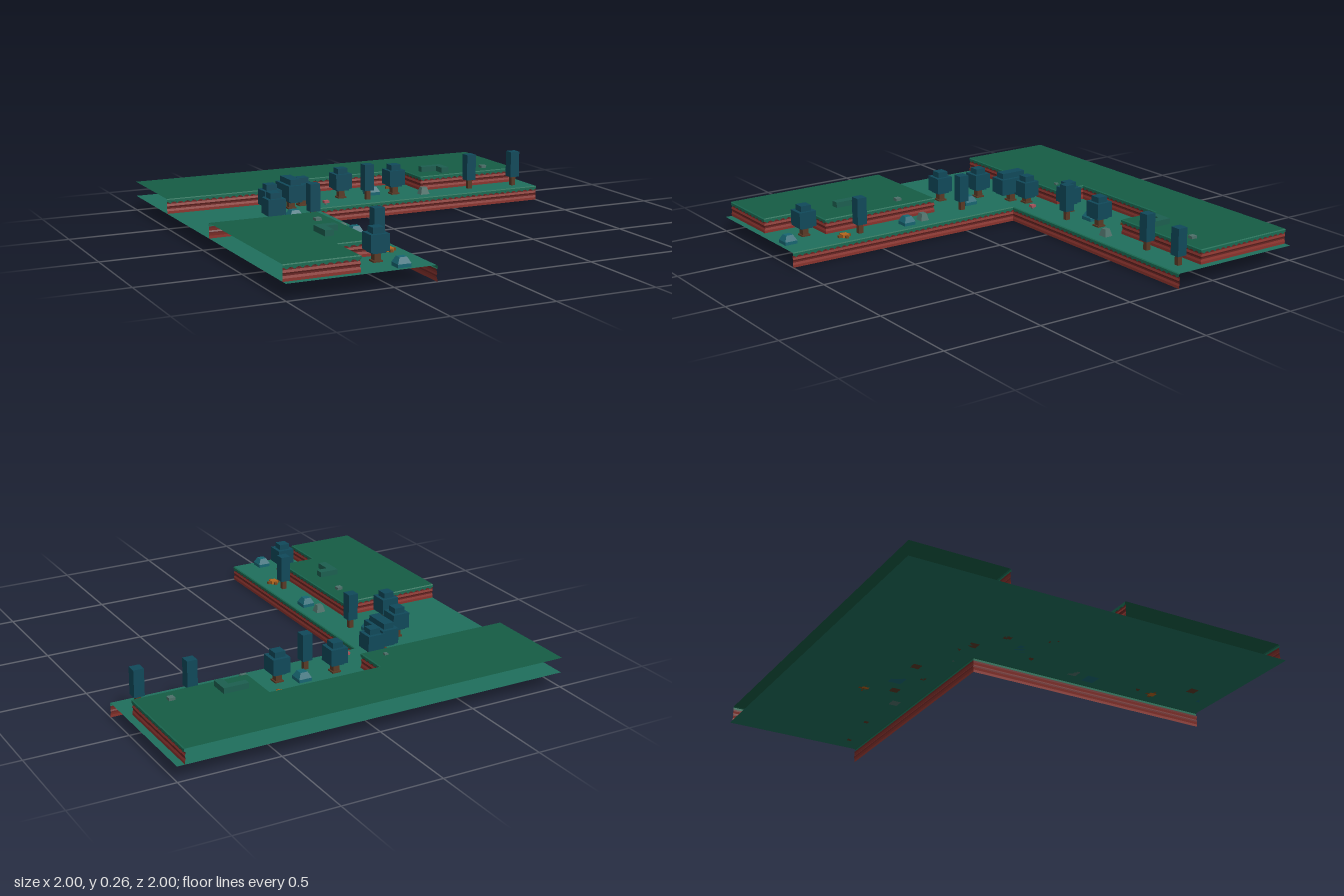
import * as THREE from 'three';

const mat = (color) => new THREE.MeshStandardMaterial({ color, flatShading: true, side: THREE.DoubleSide });
const M = {
  ground: mat(0x1f6f5c), plateau: mat(0x155c45), lip: mat(0x1a6a52),
  red: mat(0x8a332d), dark: mat(0x6a2624), leaf: mat(0x10495a), bush: mat(0x176672),
  trunk: mat(0x5a3a26), rock: mat(0x4d7069), slab: mat(0x1c5f50),
  wood: mat(0x7a4a20), flame: mat(0xb5651d), pink: mat(0xa8545c),
};
const LOW = 0.075, HIGH = 0.15;

function add(parent, name, geometry, material, x = 0, y = 0, z = 0) {
  const mesh = new THREE.Mesh(geometry, material);
  mesh.name = name;
  mesh.position.set(x, y, z);
  parent.add(mesh);
  return mesh;
}

// box standing on y
const block = (parent, name, material, w, h, d, x, y, z) =>
  add(parent, name, new THREE.BoxGeometry(w, h, d), material, x, y + h / 2, z);

// square frustum standing on y
function frustum(parent, name, material, w, top, h, d, x, y, z) {
  const g = new THREE.CylinderGeometry(top / w * Math.SQRT1_2, Math.SQRT1_2, h, 4).rotateY(Math.PI / 4);
  return add(parent, name, g.scale(w, 1, d), material, x, y + h / 2, z);
}

function fromTriangles(positions) {
  const g = new THREE.BufferGeometry();
  g.setAttribute('position', new THREE.Float32BufferAttribute(positions, 3));
  g.computeVertexNormals();
  return g;
}

// flat sheet with corners given as [x, z]
function sheet(parent, name, corners, y, material) {
  const shape = new THREE.Shape(corners.map(([x, z]) => new THREE.Vector2(x, -z)));
  add(parent, name, new THREE.ShapeGeometry(shape).rotateX(-Math.PI / 2), material, 0, y);
}

// outward normal of path segment i
function normalOf(path, i) {
  const [a, b] = [path[i], path[i + 1]];
  const l = Math.hypot(b[0] - a[0], b[1] - a[1]);
  return [-(b[1] - a[1]) / l, (b[0] - a[0]) / l];
}

// right-angled path pushed outward, mitred at its corners
function offsetPath(path, o) {
  return path.map(([x, z], i) => {
    const n = [];
    if (i > 0) n.push(normalOf(path, i - 1));
    if (i < path.length - 1) n.push(normalOf(path, i));
    const sum = n.reduce((s, v) => [s[0] + v[0], s[1] + v[1]], [0, 0]);
    return [x + sum[0] * o, z + sum[1] * o];
  });
}

// cliff bands: outward offset and height above the foot, top to bottom
const PROFILE = [[0, 0.075], [0.005, 0.071], [0.005, 0.06], [0, 0.058], [0, 0.049],
  [0.003, 0.038], [0, 0.031], [0, 0.024], [0.003, 0.013], [0.003, 0]];
const BANDS = ['lip', 'lip', 'lip', 'dark', 'red', 'dark', 'dark', 'red', 'red'];

function cliff(parent, name, path, foot) {
  const group = new THREE.Group();
  group.name = name;
  parent.add(group);
  BANDS.forEach((band, k) => {
    const [o1, y1] = PROFILE[k], [o2, y2] = PROFILE[k + 1];
    const top = offsetPath(path, o1), low = offsetPath(path, o2), p = [];
    for (let i = 0; i < path.length - 1; i++) {
      const a = [top[i][0], y1, top[i][1]], b = [top[i + 1][0], y1, top[i + 1][1]];
      const c = [low[i][0], y2, low[i][1]], d = [low[i + 1][0], y2, low[i + 1][1]];
      p.push(...a, ...c, ...b, ...b, ...c, ...d);
    }
    add(group, 'cliffBand', fromTriangles(p), M[band], 0, foot);
  });
  // grass teeth hanging under the lip
  const line = offsetPath(path, 0.0045), teeth = [];
  for (let i = 0; i < line.length - 1; i++) {
    const [a, b] = [line[i], line[i + 1]];
    const n = Math.max(2, Math.round(Math.hypot(b[0] - a[0], b[1] - a[1]) / 0.035));
    const at = (t, y) => [a[0] + (b[0] - a[0]) * t, y, a[1] + (b[1] - a[1]) * t];
    for (let j = 0; j < n; j++)
      teeth.push(...at((j + 0.1) / n, 0.061), ...at((j + 0.5) / n, 0.051), ...at((j + 0.9) / n, 0.061));
  }
  add(group, 'grassFringe', fromTriangles(teeth), M.lip, 0, foot);
}

// group with its own name, placed on the ground
function place(parent, name, x, y, z) {
  const g = new THREE.Group();
  g.name = name;
  g.position.set(x, y, z);
  parent.add(g);
  return g;
}

function roundTree(parent, x, z, depth = 0.09, lift = 0) {
  const g = place(parent, 'roundTree', x, LOW, z);
  block(g, 'trunk', M.trunk, 0.032, 0.055, 0.032, 0, 0, 0);
  block(g, 'trunkFoot', M.trunk, 0.045, 0.008, 0.045, 0, 0, 0);
  block(g, 'foliageUnderside', M.leaf, 0.065, 0.012, depth - 0.025, 0, 0.042 + lift, 0);
  block(g, 'foliage', M.leaf, 0.09, 0.078, depth, 0, 0.052 + lift, 0);
  block(g, 'foliageTop', M.leaf, 0.055, 0.028, depth - 0.035, 0, 0.13 + lift, 0);
}

function tallTree(parent, x, z) {
  const g = place(parent, 'tallTree', x, LOW, z);
  block(g, 'trunk', M.trunk, 0.024, 0.05, 0.024, 0, 0, 0);
  block(g, 'foliage', M.leaf, 0.052, 0.136, 0.052, 0, 0.048, 0);
}

function bush(parent, x, z, w) {
  const g = place(parent, 'bush', x, LOW, z);
  block(g, 'bushBase', M.bush, w, 0.016, w, 0, 0, 0);
  frustum(g, 'bushTop', M.bush, w, w * 0.55, 0.028, w, 0, 0.016, 0);
}

function campfire(parent, x, z) {
  const g = place(parent, 'campfire', x, LOW, z);
  block(g, 'log', M.wood, 0.068, 0.012, 0.015, 0, 0, 0);
  block(g, 'log', M.wood, 0.015, 0.012, 0.068, 0, 0, 0);
  block(g, 'embers', M.flame, 0.036, 0.016, 0.036, 0, 0, 0);
}

export function createModel() {
  const model = new THREE.Group();
  model.name = 'forestCliffCorner';

  // terrain
  const inner = [[-0.295, 1], [-0.295, -0.295], [1, -0.295]];
  const back = [[-1, -0.508], [-0.2, -0.508], [-0.2, -0.68], [0.39, -0.68], [0.39, -0.46], [0.96, -0.46], [0.96, -1]];
  const side = [[-1, 0.963], [-0.643, 0.963], [-0.643, 0.725], [-0.457, 0.725], [-0.457, 0.092], [-1, 0.092]];
  sheet(model, 'ground', [...inner, [1, -1], [-1, -1], [-1, 1]], LOW, M.ground);
  sheet(model, 'backPlateau', [...back, [-1, -1]], HIGH, M.plateau);
  sheet(model, 'sidePlateau', side, HIGH, M.plateau);
  cliff(model, 'lowerCliff', inner, 0);
  cliff(model, 'backCliff', back, LOW);
  cliff(model, 'sideCliff', side, LOW);

  // trees and bushes
  for (const [x, z] of [[-0.068, -0.48], [0.223, -0.447], [-0.555, -0.253], [-0.617, -0.055], [-0.5, 0.823]])
    roundTree(model, x, z);
  roundTree(model, -0.322, -0.4, 0.088, -0.012);
  roundTree(model, -0.402, -0.355, 0.17);
  for (const [x, z] of [[0.04, -0.385], [0.647, -0.397], [0.9, -0.372], [-0.412, -0.05], [-0.375, 0.58]])
    tallTree(model, x, z);
  for (const [x, z, w] of [[0.113, -0.488, 0.068], [-0.478, -0.135, 0.068], [-0.362, 0.315, 0.063], [-0.438, 0.945, 0.065]])
    bush(model, x, z, w);

  // rocks
  for (const [x, z] of [[0.362, -0.377], [-0.38, 0.21]])
    frustum(model, 'rock', M.rock, 0.05, 0.03, 0.036, 0.045, x, LOW, z);
  for (const [x, z, w] of [[0.81, -0.538, 0.03], [-0.53, 0.265, 0.03], [-0.292, -0.572, 0.018]])
    block(model, 'plateauStone', M.rock, w, w * 0.45, w, x, HIGH, z);

  // angled slabs on the plateaus
  block(model, 'backSlab', M.slab, 0.128, 0.028, 0.036, 0.514, HIGH, -0.582);
  block(model, 'backSlab', M.slab, 0.042, 0.028, 0.064, 0.557, HIGH, -0.532);
  block(model, 'sideSlab', M.slab, 0.103, 0.028, 0.042, -0.583, HIGH, 0.476);
  block(model, 'sideSlab', M.slab, 0.043, 0.028, 0.087, -0.613, HIGH, 0.5405);

  // small ground details
  campfire(model, 0.277, -0.583);
  campfire(model, -0.365, 0.675);
  block(model, 'mushroomStem', M.rock, 0.012, 0.01, 0.012, -0.208, LOW, -0.355);
  block(model, 'mushroomCap', M.pink, 0.026, 0.012, 0.026, -0.208, LOW + 0.01, -0.355);
  return model;
}
